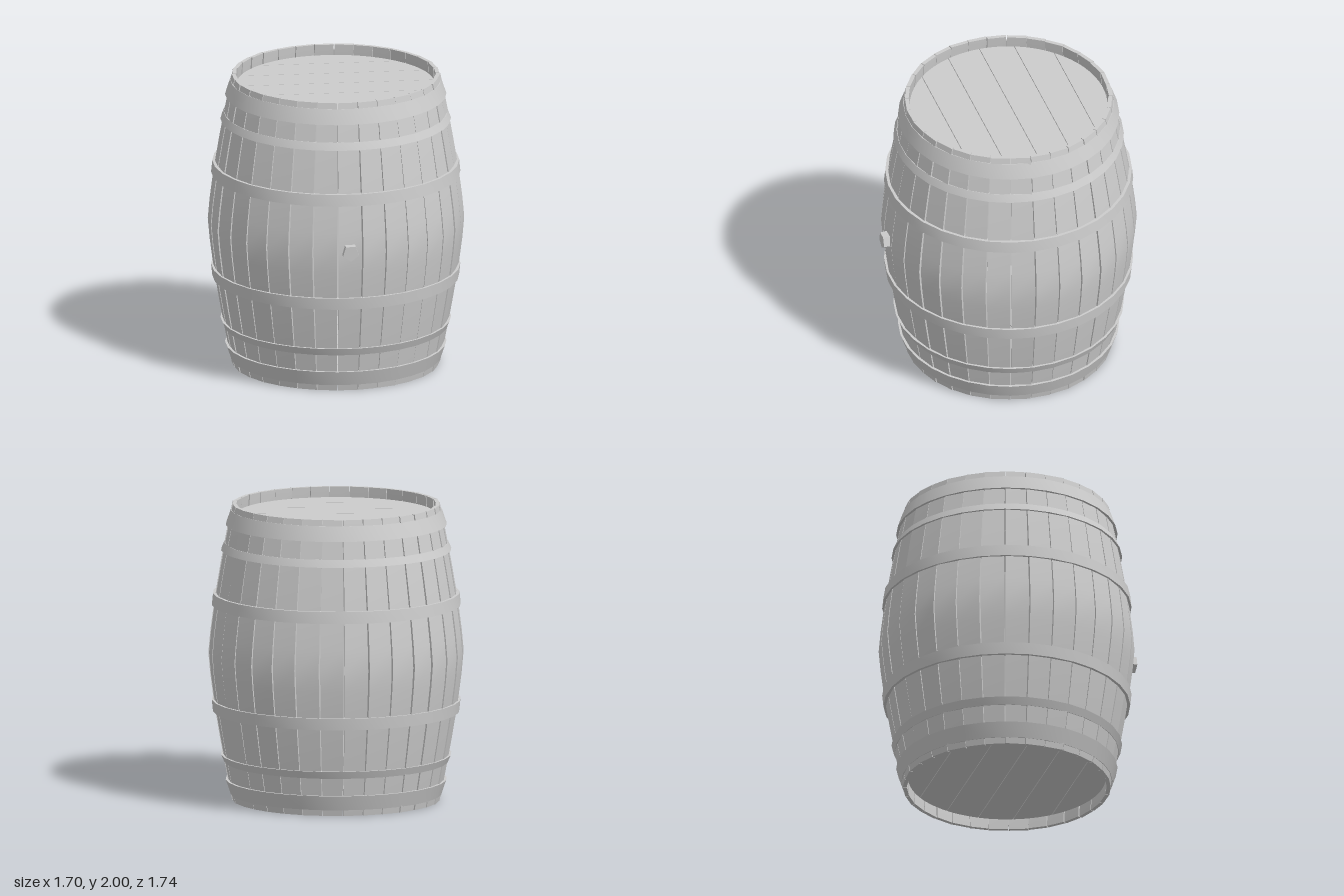
import * as THREE from 'three';
import { toCreasedNormals } from 'three/addons/utils/BufferGeometryUtils.js';

const STAVES = 32;
const STEP = (Math.PI * 2) / STAVES;

// Outer radius of the barrel at height y
const radiusAt = (y) => 0.85 - 0.16 * Math.pow(Math.abs(y - 1), 1.3);

// Small repeatable variation between -1 and 1
const vary = (i) => {
  const s = Math.sin(i * 12.9898 + 4.1) * 43758.5453;
  return (s - Math.floor(s)) * 2 - 1;
};

// One bowed board, flat across its width and thinner at both ends
function staveGeometry(index) {
  const geo = new THREE.BoxGeometry(1, 2, 1, 1, 14, 1);
  const pos = geo.attributes.position;
  const twist = vary(index) * 0.012;
  for (let i = 0; i < pos.count; i++) {
    const y = pos.getY(i) + 1;
    const outer = pos.getZ(i) > 0;
    const side = Math.sign(pos.getX(i));
    const end = Math.abs(y - 1) > 0.97;
    const r = radiusAt(y) - (outer ? 0 : end ? 0.026 : 0.045);
    const gap = 0.002 + 0.003 * (1 - Math.abs(y - 1));
    const half = r * Math.sin(STEP / 2) - gap;
    pos.setXYZ(i, side * half, y, r * Math.cos(STEP / 2) + 0.003 + side * twist * 0.4);
  }
  geo.computeVertexNormals();
  return geo;
}

// Conical band that hugs the staves
function hoopGeometry(y0, y1, out0, out1) {
  const profile = [
    [radiusAt(y0) - 0.015, y0], [radiusAt(y0) + out0, y0],
    [radiusAt(y1) + out1, y1], [radiusAt(y1) - 0.015, y1],
    [radiusAt(y0) - 0.015, y0],
  ].map(([x, y]) => new THREE.Vector2(x, y));
  return toCreasedNormals(new THREE.LatheGeometry(profile, STAVES, STEP / 2), 0.5);
}

// Plank cut from a round head between z0 and z1
function plankGeometry(z0, z1, radius, thickness) {
  const points = [];
  const n = 8;
  const edge = (z) => Math.sqrt(Math.max(0, radius * radius - z * z));
  const a0 = Math.asin(Math.max(-1, z0 / radius));
  const a1 = Math.asin(Math.min(1, z1 / radius));
  for (const side of [1, -1]) {
    for (let i = 0; i <= n; i++) {
      const t = side > 0 ? i / n : 1 - i / n;
      const z = radius * Math.sin(a0 + (a1 - a0) * t);
      points.push(new THREE.Vector2(side * edge(z), z));
    }
  }
  const geo = new THREE.ExtrudeGeometry(new THREE.Shape(points), { depth: thickness, bevelEnabled: false });
  return geo.rotateX(Math.PI / 2);
}

export function createModel() {
  const model = new THREE.Group();
  model.name = 'barrel';
  const grey = new THREE.MeshStandardMaterial({ color: 0xcccccc });
  grey.name = 'plainGrey';

  const body = new THREE.Group();
  body.name = 'body';
  body.position.z = -0.02;
  model.add(body);

  const add = (parent, name, geo) => {
    const mesh = new THREE.Mesh(geo, grey);
    mesh.name = name;
    parent.add(mesh);
    return mesh;
  };

  // Ring of staves
  const staves = new THREE.Group();
  staves.name = 'staves';
  body.add(staves);
  for (let i = 0; i < STAVES; i++) {
    add(staves, 'stave', staveGeometry(i)).rotation.y = i * STEP;
  }

  // Hoops, three at each end: heights, then how far each edge stands out
  const hoops = [
    [0.04, 0.14, 0.006, 0.02],
    [0.26, 0.31, 0.006, 0.018],
    [0.6, 0.68, 0.022, 0.018],
  ];
  for (const [y0, y1, o0, o1] of hoops) {
    add(body, 'lowerHoop', hoopGeometry(y0, y1, o0, o1));
    add(body, 'upperHoop', hoopGeometry(2 - y1, 2 - y0, o1, o0));
  }

  // Planked heads, set in from both rims
  const width = 0.23;
  for (const [name, top] of [['topHead', 1.93], ['bottomHead', 0.11]]) {
    const head = new THREE.Group();
    head.name = name;
    body.add(head);
    for (let i = 0; i < 6; i++) {
      const z0 = -0.7 + i * width;
      add(head, 'plank', plankGeometry(z0 + 0.002, z0 + width - 0.002, 0.66, 0.04)).position.y = top;
    }
  }

  // Five-sided bung on the front
  const bungGeo = new THREE.CylinderGeometry(0.056, 0.062, 0.12, 5).toNonIndexed();
  bungGeo.computeVertexNormals();
  bungGeo.rotateX(Math.PI / 2);
  const bung = add(model, 'bung', bungGeo);
  bung.position.set(0, 1.01, 0.81);
  bung.rotation.z = 0.03;
  return model;
}
